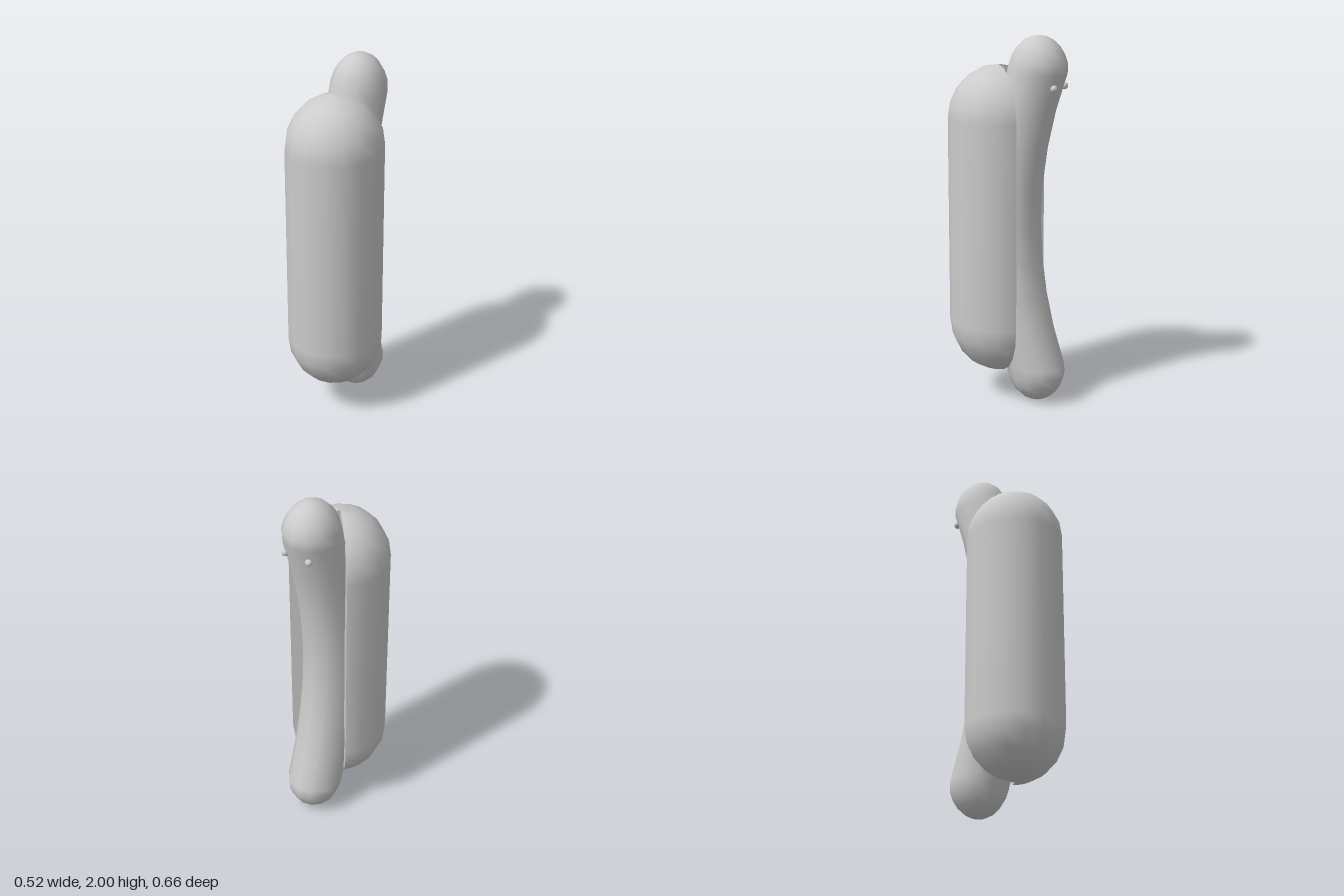
import * as THREE from 'three';
import { mergeVertices } from 'three/addons/utils/BufferGeometryUtils.js';

const material = new THREE.MeshStandardMaterial({ color: 0xcccccc });

function addMesh(parent, name, geometry) {
  const mesh = new THREE.Mesh(geometry, material);
  mesh.name = name;
  parent.add(mesh);
  return mesh;
}

// Unit-radius capsule profile from the bottom pole to the top pole, centred on y = 0
function capsuleProfile(halfHeight, cap, capSteps, bodySteps) {
  const points = [];
  const body = halfHeight - cap;
  for (let i = 0; i <= capSteps; i++) {
    const a = (i / capSteps) * Math.PI / 2;
    points.push(new THREE.Vector2(i === 0 ? 0 : Math.sin(a), -body - cap * Math.cos(a)));
  }
  for (let i = 1; i < bodySteps; i++) points.push(new THREE.Vector2(1, -body + (2 * body * i) / bodySteps));
  for (let i = capSteps; i >= 0; i--) {
    const p = points[i];
    points.push(new THREE.Vector2(p.x, -p.y));
  }
  return points;
}

// Bun: a capsule with a wedge missing at the back, closed by two flat cut faces
function createBun() {
  const bun = new THREE.Group();
  bun.name = 'bun';
  const profile = capsuleProfile(0.845, 0.29, 5, 1);
  const open = THREE.MathUtils.degToRad(133.3);
  addMesh(bun, 'bunCrust', new THREE.LatheGeometry(profile, 12, -open, 2 * open));

  for (const side of [1, -1]) {
    const outline = new THREE.Shape(profile.map((p) => new THREE.Vector2(-side * p.x, p.y)));
    const face = new THREE.ShapeGeometry(outline);
    face.rotateY(side * open + side * Math.PI / 2);
    addMesh(bun, side > 0 ? 'leftCutFace' : 'rightCutFace', face);
  }
  bun.scale.set(0.26, 1, 0.272);
  bun.position.set(0, 0.995, 0.058);
  return bun;
}

// Sausage: a capsule whose ends curve away from the bun
function createSausage() {
  let geometry = new THREE.LatheGeometry(capsuleProfile(1, 0.2, 6, 8), 12);
  geometry.scale(0.15, 1, 0.163);
  geometry.deleteAttribute('uv');
  geometry.deleteAttribute('normal');
  geometry = mergeVertices(geometry, 1e-4);
  const pos = geometry.attributes.position;
  for (let i = 0; i < pos.count; i++) {
    const d = Math.min(Math.abs(pos.getY(i)), 0.82);
    pos.setZ(i, pos.getZ(i) - 0.018 - 0.225 * d * d);
  }
  geometry.computeVertexNormals();
  return geometry;
}

export function createModel() {
  const model = new THREE.Group();
  model.name = 'hotDog';
  model.add(createBun());
  addMesh(model, 'sausage', createSausage()).position.y = 1;

  // Pair of small eyes on the back of the upper end
  for (const side of [1, -1]) {
    const eye = addMesh(model, side > 0 ? 'leftEye' : 'rightEye', new THREE.SphereGeometry(0.019, 12, 8));
    eye.position.set(side * 0.075, 1.735, -0.287);
  }
  return model;
}
